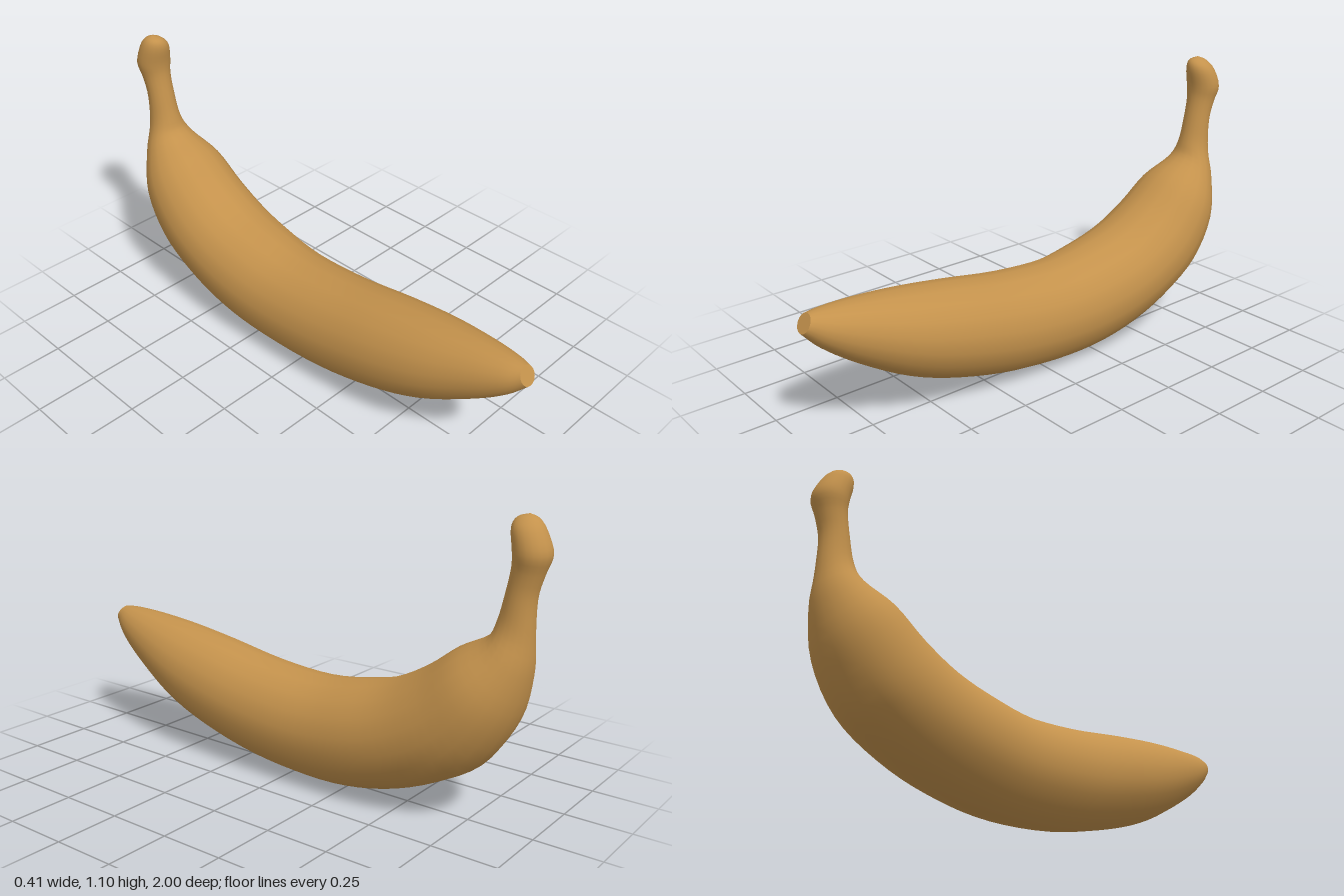
import * as THREE from 'three';

const SIDES = 18;
const STEPS = 72;

// Cross-sections from blossom tip to stem end:
// [upper z, upper y, lower z, lower y, half width, sideways shift]
const SECTIONS = [
  [0.965, 0.51, 1.0, 0.445, 0.037, 0],
  [0.9, 0.513, 0.93, 0.37, 0.075, 0],
  [0.78, 0.508, 0.81, 0.278, 0.115, 0],
  [0.6, 0.49, 0.62, 0.166, 0.16, 0],
  [0.39, 0.46, 0.41, 0.086, 0.183, 0],
  [0.14, 0.42, 0.14, 0.022, 0.191, 0],
  [-0.1, 0.405, -0.15, 0.002, 0.198, 0],
  [-0.29, 0.43, -0.39, 0.032, 0.208, 0],
  [-0.44, 0.47, -0.61, 0.107, 0.208, 0],
  [-0.57, 0.54, -0.795, 0.22, 0.2, 0],
  [-0.69, 0.63, -0.91, 0.39, 0.175, 0],
  [-0.8, 0.69, -0.955, 0.567, 0.108, 0],
  [-0.83, 0.75, -0.957, 0.7, 0.066, 0],
  [-0.853, 0.845, -0.958, 0.83, 0.055, 0],
  [-0.869, 0.93, -0.978, 0.91, 0.058, 0],
  [-0.869, 0.985, -1.0, 0.98, 0.069, 0],
  [-0.858, 1.055, -0.975, 1.05, 0.058, -0.004],
  [-0.87, 1.09, -0.945, 1.088, 0.034, -0.012],
  [-0.908, 1.103, -0.912, 1.103, 0.002, -0.015],
];

const spline = (pick) =>
  new THREE.CatmullRomCurve3(SECTIONS.map((s) => new THREE.Vector3(...pick(s))), false, 'catmullrom', 0.5);

// Upper and lower outlines; the lower one carries the half width in x
const upper = spline((s) => [s[5], s[1], s[0]]);
const lower = spline((s) => [s[4], s[3], s[2]]);

// Elliptical ring of points at parameter t
function ring(t) {
  const top = upper.getPoint(t);
  const low = lower.getPoint(t);
  const points = [];
  for (let j = 0; j < SIDES; j++) {
    const a = (j / SIDES) * Math.PI * 2;
    const k = (1 + Math.cos(a)) / 2;
    points.push(
      top.x + low.x * Math.sin(a),
      low.y + (top.y - low.y) * k,
      low.z + (top.z - low.z) * k
    );
  }
  return points;
}

function makeGeometry(positions, indices) {
  const geometry = new THREE.BufferGeometry();
  geometry.setAttribute('position', new THREE.Float32BufferAttribute(positions, 3));
  geometry.setIndex(indices);
  geometry.computeVertexNormals();
  return geometry;
}

// Fruit and stem as one smooth loft
function skinGeometry() {
  const positions = [];
  const indices = [];
  for (let i = 0; i <= STEPS; i++) positions.push(...ring(i / STEPS));
  for (let i = 0; i < STEPS; i++) {
    for (let j = 0; j < SIDES; j++) {
      const a = i * SIDES + j;
      const b = i * SIDES + ((j + 1) % SIDES);
      indices.push(a, b, a + SIDES, b, b + SIDES, a + SIDES);
    }
  }
  // Close the stem end
  const end = STEPS * SIDES;
  for (let j = 1; j < SIDES - 1; j++) indices.push(end, end + j, end + j + 1);
  return makeGeometry(positions, indices);
}

// Flat disc closing the blossom tip
function tipGeometry() {
  const indices = [];
  for (let j = 1; j < SIDES - 1; j++) indices.push(0, j + 1, j);
  return makeGeometry(ring(0), indices);
}

export function createModel() {
  const peel = new THREE.MeshStandardMaterial({ color: 0xc4924c });
  peel.name = 'peel';

  const group = new THREE.Group();
  group.name = 'banana';

  const skin = new THREE.Mesh(skinGeometry(), peel);
  skin.name = 'fruitAndStem';
  const tip = new THREE.Mesh(tipGeometry(), peel);
  tip.name = 'blossomTip';
  group.add(skin, tip);
  return group;
}
